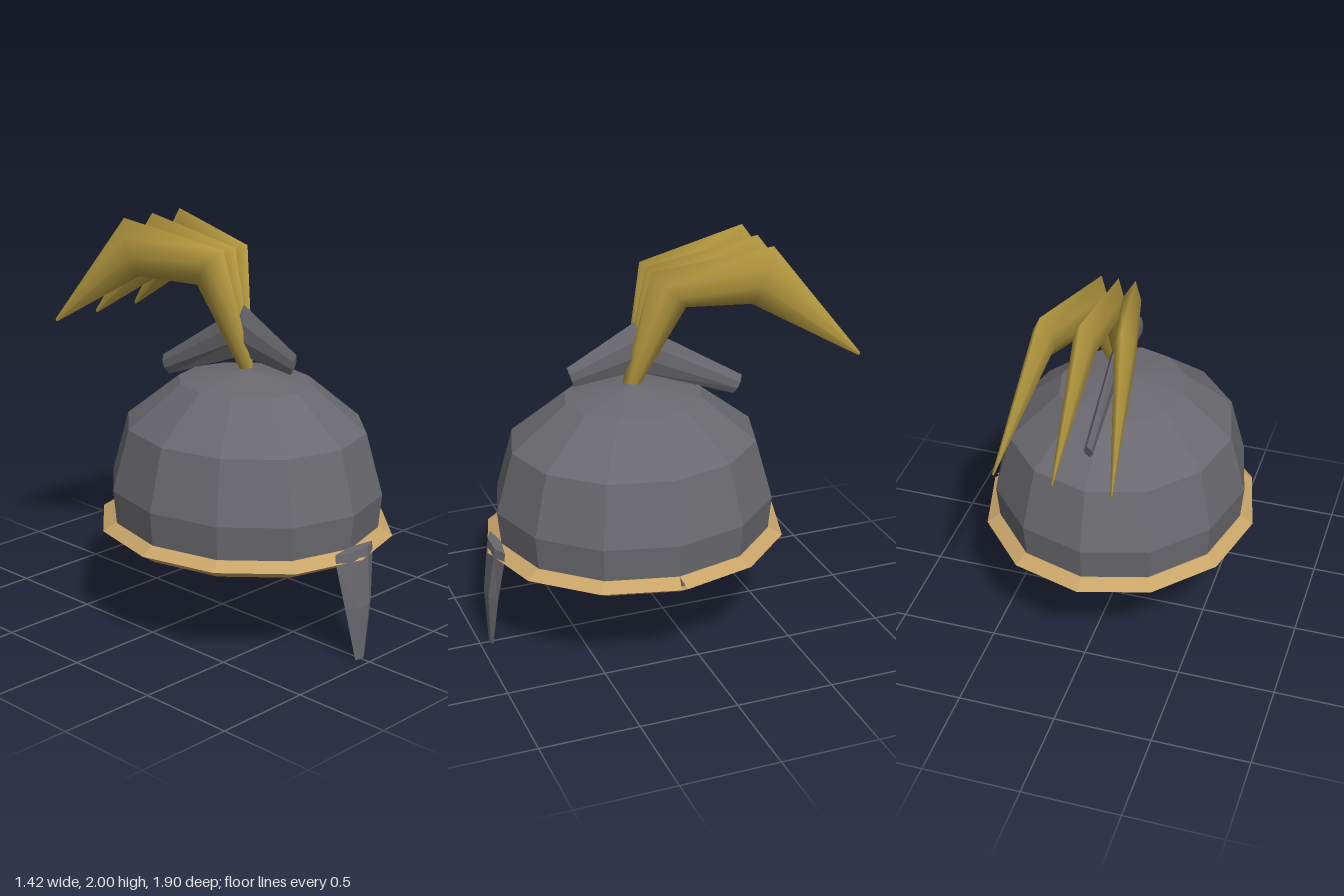
import * as THREE from 'three';

const steel = new THREE.MeshStandardMaterial({ color: 0x6a696f });
steel.name = 'steel grey';
const gold = new THREE.MeshStandardMaterial({ color: 0xb1963e });
gold.name = 'horn gold';
const brass = new THREE.MeshStandardMaterial({ color: 0xc8a468, side: THREE.DoubleSide });
brass.name = 'rim brass';

const CENTER_Z = 0.16; // middle of the bowl
const DEPTH = 1.1; // bowl is longer than it is wide

// Gives every face its own normal
function faceted(geometry) {
  const g = geometry.index ? geometry.toNonIndexed() : geometry;
  g.computeVertexNormals();
  return g;
}

// Skins a list of rings (each an array of [x, y, z]) and closes both ends
function loft(rings) {
  const n = rings[0].length;
  const index = [];
  for (let i = 0; i < rings.length - 1; i++) {
    for (let j = 0; j < n; j++) {
      const a = i * n + j;
      const b = i * n + ((j + 1) % n);
      index.push(a, b, a + n, b, b + n, a + n);
    }
  }
  const end = (rings.length - 1) * n;
  for (let j = 1; j < n - 1; j++) {
    index.push(0, j + 1, j, end, end + j, end + j + 1);
  }
  const g = new THREE.BufferGeometry();
  g.setAttribute('position', new THREE.Float32BufferAttribute(rings.flat(2), 3));
  g.setIndex(index);
  g.computeVertexNormals();
  return g;
}

// Six-sided blade section between an upper and a lower [z, y] point
function bladeRing(top, bottom, w, x = 0) {
  const at = (t, dx) => [
    x + dx,
    top[1] + (bottom[1] - top[1]) * t,
    top[0] + (bottom[0] - top[0]) * t,
  ];
  return [at(0, 0), at(0.33, w), at(0.67, w), at(1, 0), at(0.67, -w), at(0.33, -w)];
}

function lathe(points, start = 0) {
  const profile = points.map(([r, y]) => new THREE.Vector2(r, y));
  return new THREE.LatheGeometry(profile, 12, start).scale(1, 1, DEPTH).translate(0, 0, CENTER_Z);
}

export function createModel() {
  const group = new THREE.Group();
  const add = (name, geometry, material) => {
    const mesh = new THREE.Mesh(geometry, material);
    mesh.name = name;
    group.add(mesh);
  };

  // Faceted bowl with a closed underside
  add('bowl', faceted(lathe([
    [0, 0.48], [0.625, 0.48], [0.64, 0.55], [0.655, 0.72],
    [0.575, 1.03], [0.32, 1.25], [0, 1.305],
  ])), steel);

  // Pointed rim, split by a small notch on the left side
  const rimProfile = [[0.605, 0.5], [0.605, 0.46], [0.625, 0.46], [0.708, 0.512], [0.645, 0.55], [0.6, 0.55]];
  const rim = lathe(rimProfile, Math.PI / 2);
  const p = rim.attributes.position;
  const outer = 3;
  const last = 12 * rimProfile.length + outer;
  p.setZ(outer, p.getZ(outer) - 0.015);
  p.setZ(last, p.getZ(last) + 0.015);
  add('rim', faceted(rim), brass);

  // Nose guard: [y, half width, back z, side z, front z]
  const guard = [
    [0.56, 0.135, 0.865, 0.885, 0.918],
    [0.51, 0.135, 0.868, 0.89, 0.925],
    [0.28, 0.095, 0.895, 0.92, 0.955],
    [0, 0.033, 0.932, 0.938, 0.948],
  ].map(([y, w, b, m, f]) => [[0, y, b], [w, y, m], [w * 0.45, y, f], [-w * 0.45, y, f], [-w, y, m]]);
  add('noseGuard', faceted(loft(guard)), steel);

  // Bent crest plate on top
  add('crestPlate', faceted(loft([
    bladeRing([0.5, 1.44], [0.465, 1.335], 0.012),
    bladeRing([0.15, 1.63], [0.14, 1.37], 0.028),
    bladeRing([-0.43, 1.27], [-0.385, 1.175], 0.02),
  ])), steel);

  // Three smooth hooked horns fanning out from one root
  const horn = (side) => loft([
    bladeRing([0.21, 1.32], [0.12, 1.3], 0.016, 0),
    bladeRing([0.09, 1.905], [-0.09, 1.705], 0.046, 0.085 * side),
    bladeRing([-0.5, 2], [-0.39, 1.72], 0.046, 0.193 * side),
    bladeRing([-0.95, 1.42], [-0.94, 1.405], 0.004, 0.28 * side),
  ]);
  add('leftHorn', horn(1), gold);
  add('middleHorn', horn(0), gold);
  add('rightHorn', horn(-1), gold);

  return group;
}
